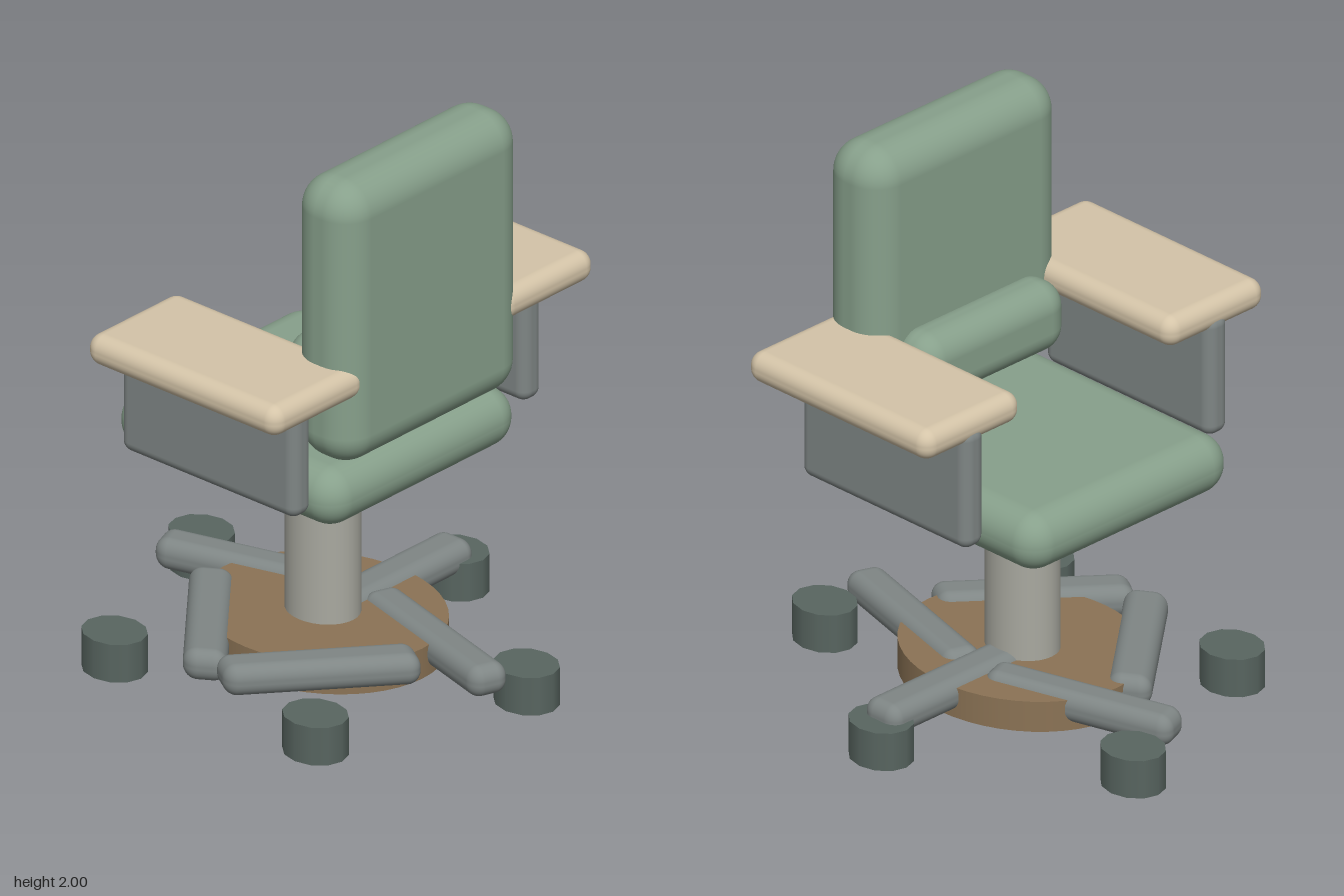
import * as THREE from 'three';
import { RoundedBoxGeometry } from 'three/addons/geometries/RoundedBoxGeometry.js';

const paint = (name, color) => {
  const m = new THREE.MeshStandardMaterial({ color });
  m.name = name;
  return m;
};

export function createModel() {
  const sage = paint('sage fabric', 0x87a08b);
  const tan = paint('tan pad', 0xd4c4a8);
  const steel = paint('grey steel', 0x7f8685);
  const silver = paint('silver column', 0xa9a9a0);
  const brown = paint('brown base', 0x8b7355);
  const rubber = paint('dark rubber', 0x586560);

  const chair = new THREE.Group();
  chair.name = 'officeChair';

  const add = (parent, name, geometry, material, x, y, z) => {
    const mesh = new THREE.Mesh(geometry, material);
    mesh.name = name;
    mesh.position.set(x, y, z);
    parent.add(mesh);
    return mesh;
  };
  // Rounded block given by its extents
  const block = (name, material, [x0, x1], [y0, y1], [z0, z1], r) =>
    add(chair, name, new RoundedBoxGeometry(x1 - x0, y1 - y0, z1 - z0, 6, r), material,
      (x0 + x1) / 2, (y0 + y1) / 2, (z0 + z1) / 2);

  // Cushions
  block('seat', sage, [-0.465, 0.465], [0.753, 0.96], [-0.517, 0.46], 0.1);
  block('backrest', sage, [-0.435, 0.435], [0.98, 2], [0.237, 0.502], 0.115);
  block('lumbarPillow', sage, [-0.333, 0.333], [1.09, 1.34], [0.104, 0.3], 0.09);

  // Armrests: a broad pad on an upright panel, each side
  for (const [side, s] of [['left', 1], ['right', -1]]) {
    const span = (a, b) => (s > 0 ? [a, b] : [-b, -a]);
    block(side + 'ArmPad', tan, span(0.335, 0.78), [1.24, 1.35], [-0.342, 0.495], 0.05);
    block(side + 'ArmPanel', steel, span(0.51, 0.605), [0.857, 1.295], [-0.347, 0.42], 0.04);
  }

  // Base, slightly narrowed across its width
  const base = new THREE.Group();
  base.name = 'base';
  base.scale.x = 0.865;
  chair.add(base);
  add(base, 'column', new THREE.CylinderGeometry(0.1325, 0.1325, 0.65, 32), silver, 0, 0.485, 0);
  add(base, 'baseDisc', new THREE.CylinderGeometry(0.435, 0.435, 0.11, 48), brown, 0, 0.117, 0);

  // Five legs and casters, the legs turned against the ring they sit on
  const legGeometry = new RoundedBoxGeometry(0.71, 0.112, 0.155, 5, 0.05);
  const casterGeometry = new THREE.CylinderGeometry(0.116, 0.116, 0.137, 12);
  for (let i = 0; i < 5; i++) {
    const a = (i * Math.PI * 2) / 5;
    const c = Math.cos(a), s = Math.sin(a);
    const leg = add(base, 'leg' + (i + 1), legGeometry, steel, 0.411 * c, 0.139, 0.411 * s);
    leg.rotation.y = a;
    add(base, 'caster' + (i + 1), casterGeometry, rubber, 0.747 * c, 0.0685, 0.747 * s);
  }
  return chair;
}
